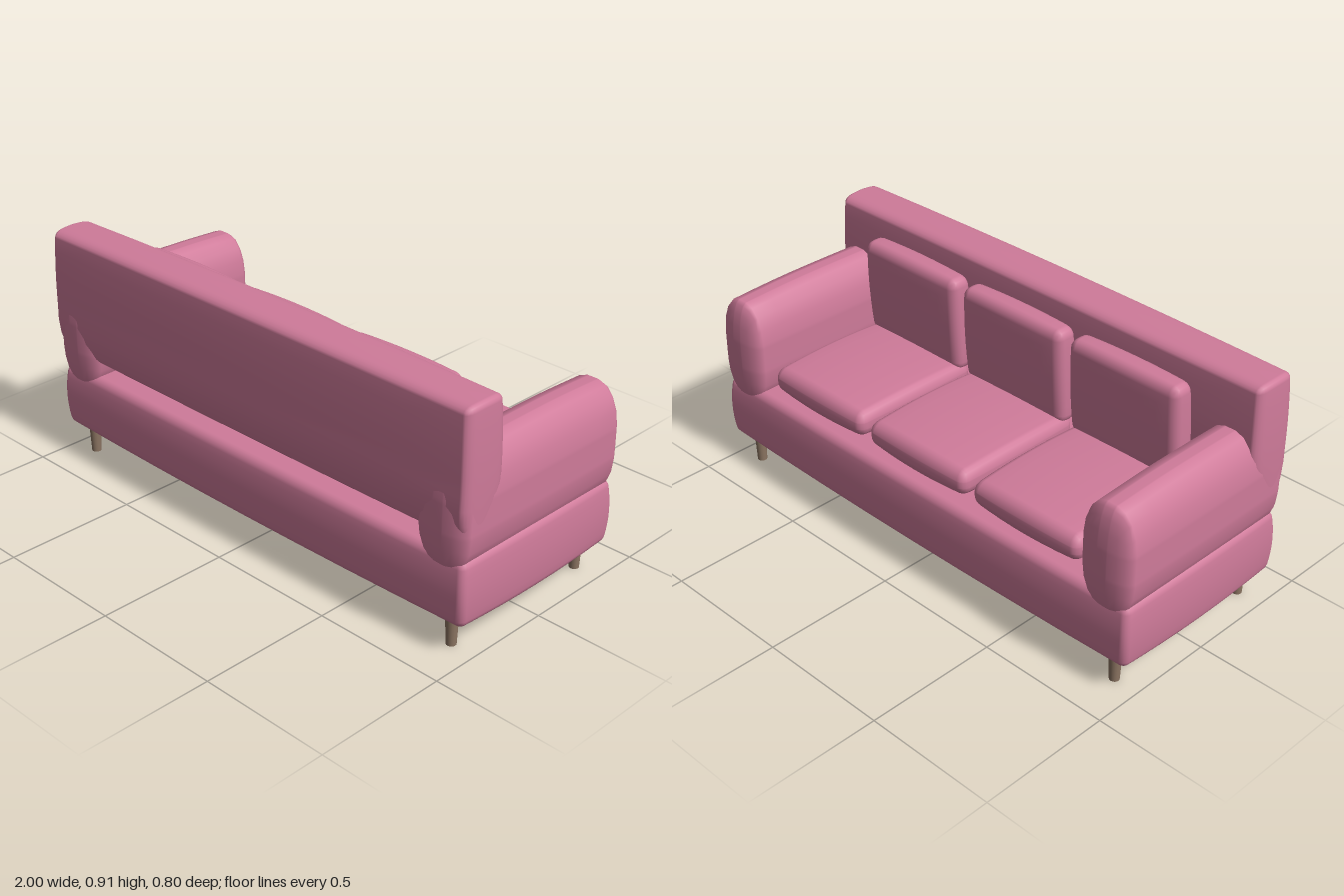
import * as THREE from 'three';
import { mergeVertices } from 'three/addons/utils/BufferGeometryUtils.js';

// Padded box: half sizes h, edge radii r, bulge amounts b (all [x, y, z]);
// an optional warp rule shapes the box before it is moved to its place.
function pad(h, r, b, warp) {
  const inner = 4, n = inner + 2;
  const g = new THREE.BoxGeometry(2, 2, 2, n * 2, n * 2, n * 2);
  g.deleteAttribute('uv');
  g.deleteAttribute('normal');
  const pos = g.attributes.position;
  const v = new THREE.Vector3();
  for (let i = 0; i < pos.count; i++) {
    v.fromBufferAttribute(pos, i);
    const c = v.toArray();
    const core = [], off = [];
    let longest = 0;
    for (let a = 0; a < 3; a++) {
      const s = Math.sign(c[a]);
      const k = Math.round(Math.abs(c[a]) * n);
      const flat = h[a] - r[a];
      core[a] = s * flat * Math.min(1, k / inner);
      off[a] = k <= inner ? 0 : s * (k === n ? 1 : 0.414);
      longest += off[a] * off[a];
    }
    longest = Math.sqrt(longest) || 1;
    const p = core.map((q, a) => q + (off[a] / longest) * r[a]);
    const u = p.map((q, a) => (q / h[a]) ** 2);
    const sum = u[0] + u[1] + u[2];
    v.fromArray(p.map((q, a) => q * (1 - b[a] * (sum - u[a]) / 2)));
    if (warp) warp(v);
    pos.setXYZ(i, v.x, v.y, v.z);
  }
  const out = mergeVertices(g, 1e-5);
  out.computeVertexNormals();
  return out;
}

export function createModel() {
  const fabric = new THREE.MeshStandardMaterial({ color: 0xcf7b9a });
  fabric.name = 'pink fabric';
  const wood = new THREE.MeshStandardMaterial({ color: 0x8c7562 });
  wood.name = 'brown wood';

  const sofa = new THREE.Group();
  sofa.name = 'sofa';
  const add = (name, geometry, material, x, y, z) => {
    const mesh = new THREE.Mesh(geometry, material);
    mesh.name = name;
    mesh.position.set(x, y, z);
    sofa.add(mesh);
    return mesh;
  };

  // Upholstered base
  add('base', pad([1, 0.133, 0.395], [0.025, 0.03, 0.025], [0.02, 0.08, 0.06]),
    fabric, 0, 0.235, 0);

  // Backrest, narrowing to a rounded lower edge
  add('backrest', pad([1, 0.25, 0.098], [0.02, 0.022, 0.035], [0.015, 0.06, 0.14], (v) => {
    const t = Math.min(1, Math.max(0, (-0.05 - v.y) / 0.2));
    v.z = v.z * Math.sqrt(1 - 0.93 * t * t) + 0.022 * t;
  }), fabric, 0, 0.657, 0.302);

  // Arms, rounded over the top and sloping slightly to the open end
  const arm = pad([0.108, 0.215, 0.397], [0.085, 0.15, 0.035], [0.05, 0.05, 0.03], (v) => {
    if (v.y > 0 && v.z < -0.14) v.y *= 1 + 0.12 * (v.z + 0.14);
  });
  for (const side of [1, -1]) {
    add(side > 0 ? 'leftArm' : 'rightArm', arm, fabric, side * 0.89, 0.502, 0);
  }

  // Three seat cushions and three leaning back cushions
  const seat = pad([0.242, 0.066, 0.278], [0.03, 0.045, 0.03], [0.05, 0.3, 0.06]);
  const back = pad([0.24, 0.195, 0.056], [0.03, 0.035, 0.03], [0.04, 0.06, 0.22], (v) => {
    v.z -= 0.06 * (v.y - 0.195);
  });
  for (const i of [-1, 0, 1]) {
    add('seatCushion', seat, fabric, i * 0.51, 0.433, -0.077);
    add('backCushion', back, fabric, i * 0.51, 0.645, 0.15);
  }

  // Tapered legs
  const leg = new THREE.CylinderGeometry(0.023, 0.018, 0.12, 16);
  for (const x of [-0.9, 0.9]) {
    for (const z of [-0.318, 0.318]) add('leg', leg, wood, x, 0.06, z);
  }
  return sofa;
}
